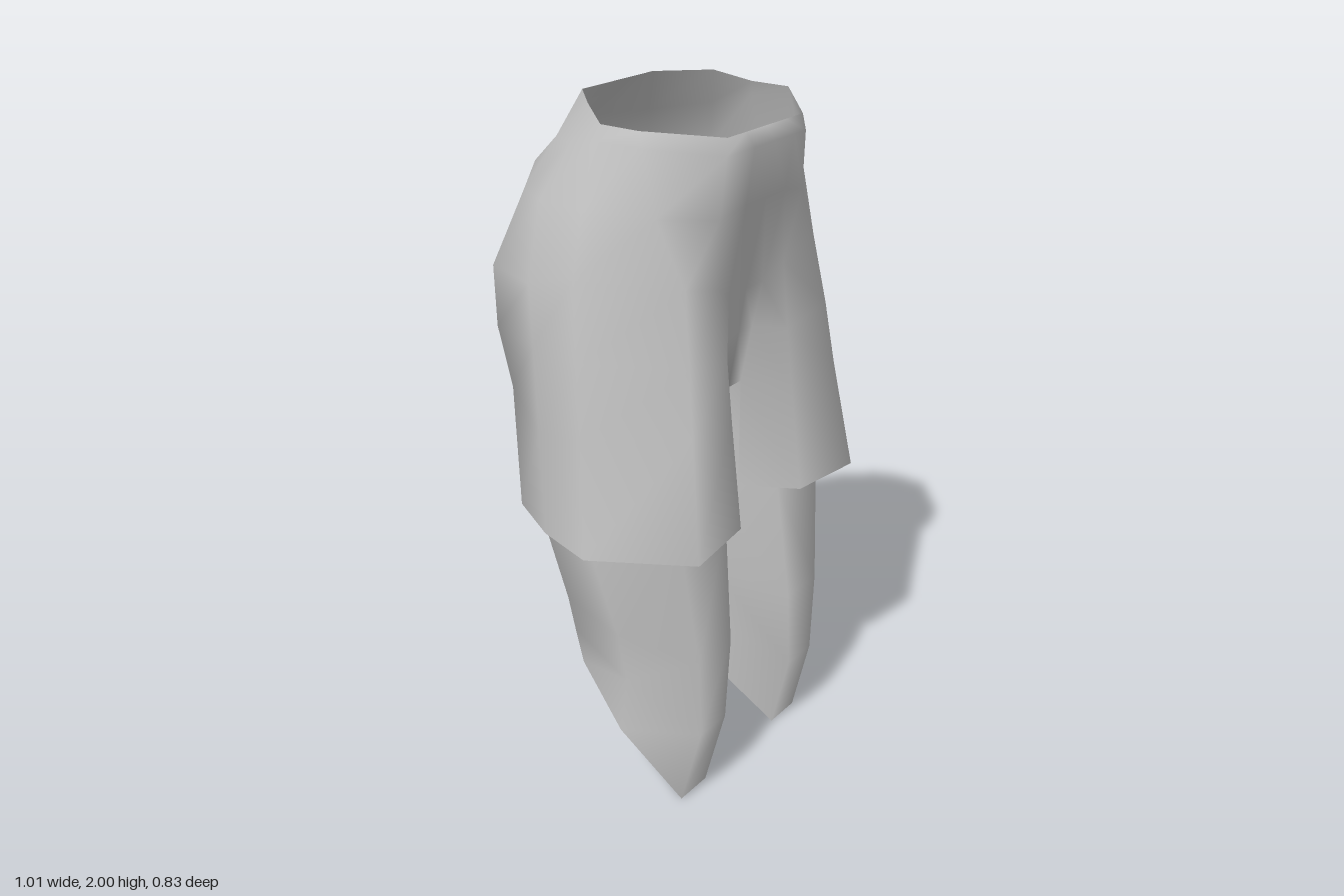
import * as THREE from 'three';
import { mergeVertices } from 'three/addons/utils/BufferGeometryUtils.js';

const flip = ([x, y, z]) => [-x, y, z];

// Appends the triangles of a grid of points: rows run downwards, columns run rightwards seen from outside.
function addGrid(out, rows, closed = false) {
  for (let i = 0; i < rows.length - 1; i++) {
    const n = rows[i].length;
    for (let j = 0; j < (closed ? n : n - 1); j++) {
      const k = (j + 1) % n;
      const a = rows[i][j], b = rows[i][k], c = rows[i + 1][j], d = rows[i + 1][k];
      out.push(a, c, d, a, d, b);
    }
  }
}

// Mirrors triangles across x, keeping them facing outwards.
function mirrored(tris) {
  const out = [];
  for (let i = 0; i < tris.length; i += 3) out.push(flip(tris[i]), flip(tris[i + 2]), flip(tris[i + 1]));
  return out;
}

function smoothMesh(tris, material, name) {
  let geo = new THREE.BufferGeometry();
  geo.setAttribute('position', new THREE.Float32BufferAttribute(tris.flat(), 3));
  geo = mergeVertices(geo, 1e-4);
  geo.computeVertexNormals();
  const mesh = new THREE.Mesh(geo, material);
  mesh.name = name;
  return mesh;
}

export function createModel() {
  const group = new THREE.Group();
  group.name = 'shortsAndLegs';
  const grey = new THREE.MeshStandardMaterial({ color: 0xc4c4c4, side: THREE.DoubleSide });
  grey.name = 'plain grey';

  // Half sections of the shorts, from front centre round the left side to back centre.
  const rows = [
    // waist
    [[0.09, 1.945, 0.33], [0.17, 1.945, 0.33], [0.33, 1.97, 0.18], [0.33, 1.97, 0.06], [0.27, 2, -0.03], [0.15, 2, -0.15], [0.06, 2, -0.15]],
    // belly
    [[0.09, 1.91, 0.357], [0.18, 1.9, 0.335], [0.335, 1.93, 0.19], [0.345, 1.93, 0.05], [0.31, 1.9, -0.06], [0.2, 1.88, -0.2], [0.07, 1.88, -0.27]],
    // hips
    [[0.09, 1.76, 0.335], [0.19, 1.74, 0.325], [0.335, 1.76, 0.235], [0.4, 1.76, 0.05], [0.375, 1.76, -0.11], [0.27, 1.74, -0.26], [0.08, 1.76, -0.39]],
    // seat
    [[0.08, 1.5, 0.28], [0.15, 1.54, 0.3], [0.3, 1.58, 0.3], [0.45, 1.6, 0.06], [0.45, 1.56, -0.09], [0.33, 1.53, -0.33], [0.09, 1.56, -0.418]],
    // lower seat
    [[0.065, 1.37, 0.26], [0.145, 1.35, 0.325], [0.325, 1.38, 0.335], [0.47, 1.38, 0.08], [0.475, 1.4, -0.06], [0.34, 1.36, -0.315], [0.15, 1.38, -0.34]],
    // crotch
    [[0.06, 1.2, 0.23], [0.147, 1.18, 0.345], [0.345, 1.2, 0.36], [0.485, 1.18, 0.1], [0.465, 1.15, -0.06], [0.36, 1.2, -0.248], [0.14, 1.2, -0.205]],
    // hem
    [[0.06, 0.87, 0.23], [0.15, 0.87, 0.385], [0.385, 0.87, 0.415], [0.505, 0.84, 0.12], [0.455, 0.84, -0.06], [0.365, 0.84, -0.23], [0.16, 0.84, -0.205]],
  ];
  const half = [];
  addGrid(half, rows);

  // Centre strip: down the front, under the crotch and up the back
  const crotchMid = [0.08, 1.2, 0];
  const crotch = rows[5];
  const strip = [];
  const across = (p, dy = 0, dz = 0) => [flip(p), [0, p[1] + dy, p[2] + dz], p];
  addGrid(strip, [
    ...rows.slice(0, 6).map(r => across(r[0])),
    across(crotchMid),
    across(crotch[6], 0.04, 0.02),
    across(rows[4][6], 0, 0.1), // cleft
    ...rows.slice(0, 4).reverse().map(r => across(r[6])),
  ]);
  group.add(smoothMesh([...half, ...mirrored(half), ...strip], grey, 'shorts'));

  // Legs: closed rings from the crotch, inside the open shorts, down to the slanted open end
  const legRings = [
    [crotch[0], [0.3, 1.25, 0.3], [0.455, 1.25, 0.06], [0.33, 1.25, -0.23], crotch[6], crotchMid],
    [[0.13, 0.87, 0.32], [0.34, 0.87, 0.32], [0.445, 0.86, 0.08], [0.365, 0.86, -0.165], [0.14, 0.86, -0.16], [0.064, 0.87, 0.1]],
    [[0.15, 0.5, 0.36], [0.3, 0.5, 0.36], [0.378, 0.54, 0.13], [0.355, 0.58, -0.072], [0.15, 0.58, -0.07], [0.082, 0.55, 0.13]],
    [[0.17, 0.25, 0.36], [0.29, 0.25, 0.36], [0.352, 0.38, 0.14], [0.35, 0.48, -0.052], [0.16, 0.48, -0.05], [0.09, 0.36, 0.14]],
    [[0.18, 0, 0.3], [0.3, 0, 0.3], [0.357, 0.2, 0.12], [0.343, 0.37, -0.03], [0.17, 0.36, -0.03], [0.09, 0.2, 0.12]],
  ];
  const leg = [];
  addGrid(leg, legRings, true);
  group.add(smoothMesh(leg, grey, 'leftLeg'));
  group.add(smoothMesh(mirrored(leg), grey, 'rightLeg'));
  return group;
}
